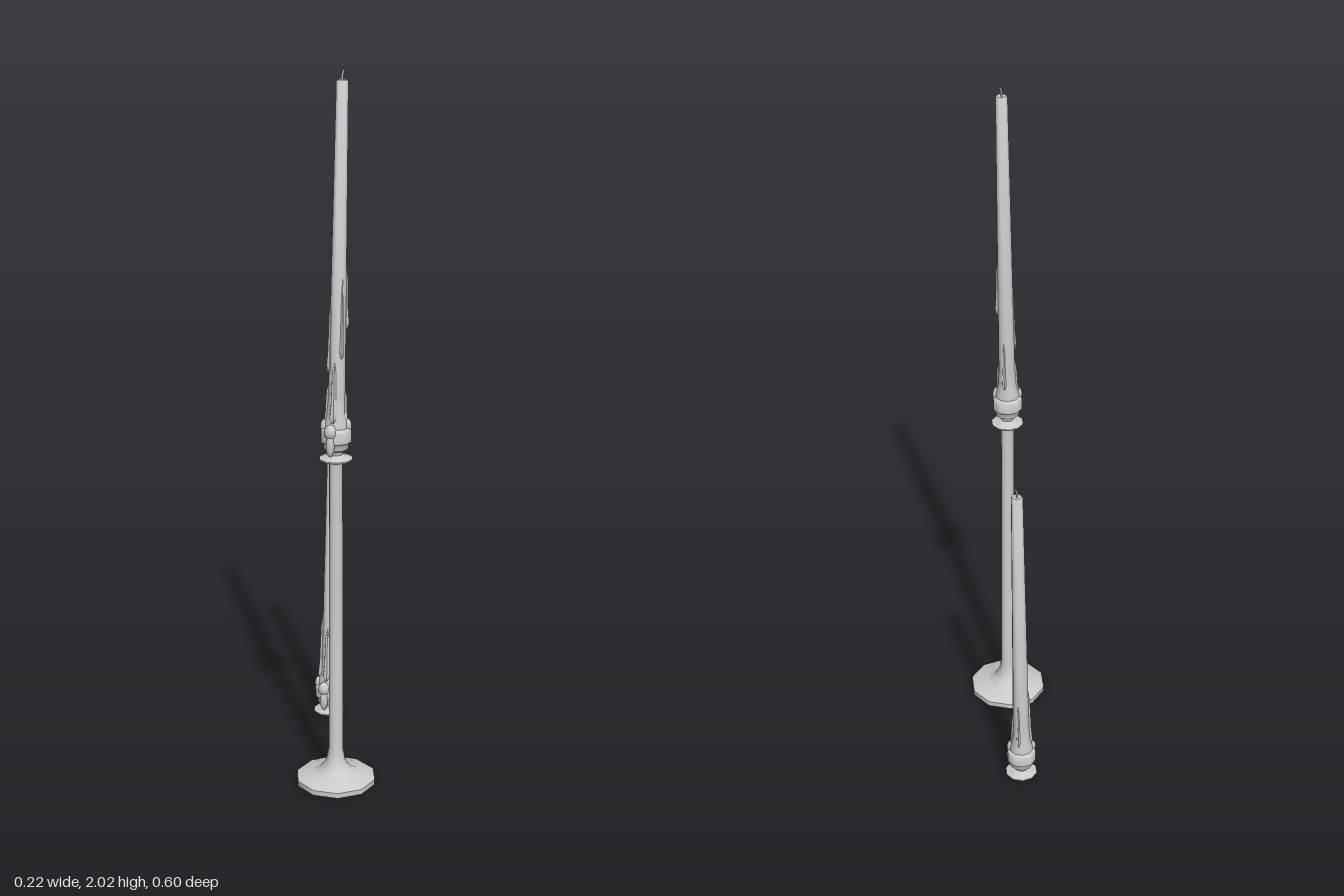
import * as THREE from 'three';
import { toCreasedNormals } from 'three/addons/utils/BufferGeometryUtils.js';

const material = new THREE.MeshStandardMaterial({ color: 0xcccccc, side: THREE.DoubleSide });

// Turned part from [radius, height] pairs, listed from the underside to the top
function turned(name, profile, sides = 10) {
  const points = profile.map(([r, y]) => new THREE.Vector2(r, y));
  const mesh = new THREE.Mesh(toCreasedNormals(new THREE.LatheGeometry(points, sides), 0.8), material);
  mesh.name = name;
  return mesh;
}

const HEIGHT = 0.94;
const candleRadius = (y) => THREE.MathUtils.lerp(0.024, 0.0165, y / HEIGHT);

// Wax run on the candle's side: thin at the top, swelling to a bead at the bottom
function waxRun(angle, bottom, top, size) {
  const h = top - bottom;
  const run = turned('waxRun', [
    [0, 0], [size * 0.8, h * 0.04], [size, h * 0.12], [size * 0.7, h * 0.3], [size * 0.5, h * 0.8], [0, h],
  ], 6);
  const r = candleRadius(bottom);
  run.position.set(Math.sin(angle) * r, bottom, Math.cos(angle) * r);
  // Lean the run so it follows the taper
  const rTop = candleRadius(top);
  const along = new THREE.Vector3(Math.sin(angle) * (rTop - r), h, Math.cos(angle) * (rTop - r)).normalize();
  run.quaternion.setFromUnitVectors(new THREE.Vector3(0, 1, 0), along);
  return run;
}

// Leaning taper with wick and wax runs; each run is [angle, bottom, top, size]
function candle(runs) {
  const group = new THREE.Group();
  group.name = 'candle';
  const b = candleRadius(0), t = candleRadius(HEIGHT);
  group.add(turned('taper', [
    [0, 0], [0.036, 0], [0.034, 0.022], [b + 0.003, 0.05], [b, 0.1], [t, HEIGHT - 0.004], [t - 0.003, HEIGHT], [0, HEIGHT - 0.003],
  ]));

  const wickPath = new THREE.CatmullRomCurve3([
    new THREE.Vector3(0, HEIGHT - 0.005, 0),
    new THREE.Vector3(0, HEIGHT + 0.012, 0),
    new THREE.Vector3(0.004, HEIGHT + 0.025, 0),
  ]);
  const wick = new THREE.Mesh(new THREE.TubeGeometry(wickPath, 4, 0.003, 5), material);
  wick.name = 'wick';
  group.add(wick, ...runs.map((run) => waxRun(...run)));
  group.quaternion.setFromUnitVectors(
    new THREE.Vector3(0, 1, 0), new THREE.Vector3(0.018, HEIGHT, -0.041).normalize());
  group.position.y = 0.087;
  return group;
}

// Drip dish, socket and candle, standing on its own y = 0
function candleSocket(runs) {
  const group = new THREE.Group();
  group.name = 'candleSocket';
  group.add(turned('dripDish', [
    [0, 0.002], [0.025, 0], [0.045, 0.004], [0.047, 0.009], [0.03, 0.013], [0.02, 0.02], [0, 0.02],
  ]));
  group.add(turned('cup', [
    [0, 0.018], [0.018, 0.018], [0.021, 0.03], [0.034, 0.037], [0.037, 0.053],
    [0.043, 0.058], [0.043, 0.09], [0.038, 0.097], [0.024, 0.1], [0, 0.1],
  ]));
  group.add(candle(runs));

  // Wax spilled over the rim of the cup
  const spill = [[-0.5, 0.034, 0.09, 0.018, 0.022], [-0.45, 0.04, 0.055, 0.012, 0.034], [-1.5, 0.03, 0.1, 0.013, 0.022], [1.4, 0.03, 0.1, 0.013, 0.024]];
  for (const [angle, r, y, width, height] of spill) {
    const blob = new THREE.Mesh(new THREE.SphereGeometry(1, 8, 6), material);
    blob.name = 'spilledWax';
    blob.position.set(Math.sin(angle) * r, y, Math.cos(angle) * r);
    blob.scale.set(width, height, width);
    group.add(blob);
  }
  return group;
}

export function createModel() {
  const model = new THREE.Group();
  model.name = 'candles';

  // Tall floor stand with a hollow foot
  const stand = new THREE.Group();
  stand.name = 'tallCandlestick';
  stand.position.z = 0.18;
  stand.add(turned('standFootAndPole', [
    [0, 0.035], [0.03, 0.028], [0.07, 0.014], [0.106, 0], [0.115, 0.003], [0.115, 0.018], [0.108, 0.023],
    [0.065, 0.03], [0.042, 0.043], [0.028, 0.068], [0.021, 0.105], [0.019, 0.96], [0, 0.967],
  ]));
  const upper = candleSocket([
    [1.5, 0.28, 0.45, 0.009], [-1.3, 0.16, 0.36, 0.008], [-0.4, 0.02, 0.2, 0.012],
    [-1.5, 0.02, 0.13, 0.011], [1.3, 0.01, 0.12, 0.011], [0.5, 0.2, 0.42, 0.007], [2.7, 0.04, 0.2, 0.007],
  ]);
  upper.position.y = 0.965;
  stand.add(upper);

  // Short candle in a matching socket, behind the stand
  const lower = candleSocket([
    [-0.4, 0.02, 0.2, 0.012], [-1.5, 0.02, 0.24, 0.011], [1.3, 0.01, 0.14, 0.011],
    [0.5, 0.08, 0.26, 0.007], [2.7, 0.03, 0.2, 0.007],
  ]);
  lower.name = 'shortCandle';
  lower.position.set(0, 0.015, -0.245);
  lower.scale.y = 0.98;

  model.add(stand, lower);
  return model;
}
